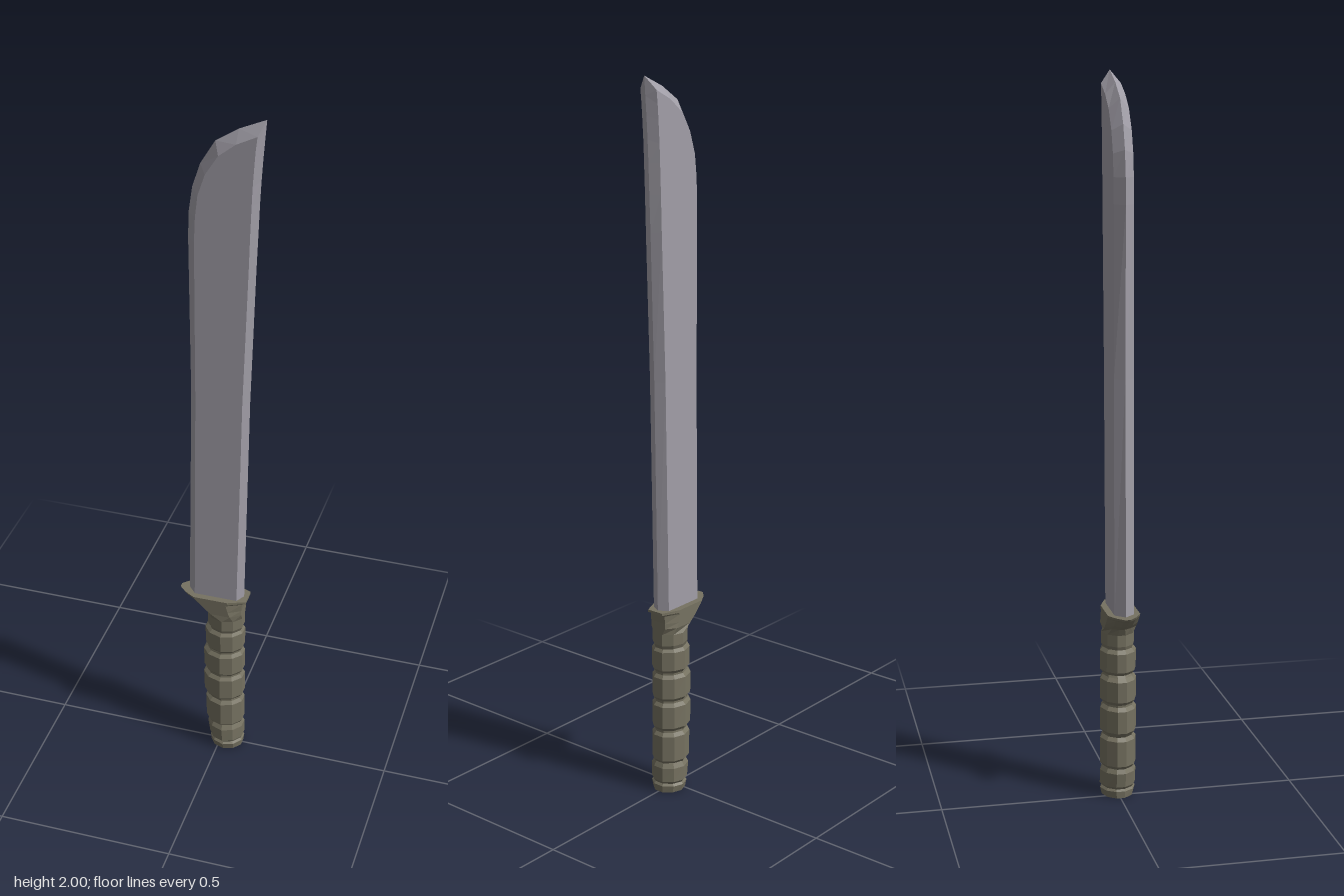
import * as THREE from 'three';

// Skins a stack of equal-length rings (counter-clockwise seen from above) with flat facets and end caps.
function loft(rings) {
  const pos = [];
  const tri = (a, b, c) => pos.push(...a, ...b, ...c);
  const n = rings[0].length;
  for (let r = 0; r < rings.length - 1; r++) {
    const lo = rings[r], hi = rings[r + 1];
    for (let i = 0; i < n; i++) {
      const j = (i + 1) % n;
      tri(lo[i], lo[j], hi[j]);
      tri(lo[i], hi[j], hi[i]);
    }
  }
  const bottom = rings[0], top = rings[rings.length - 1];
  for (let i = 1; i < n - 1; i++) {
    tri(bottom[0], bottom[i + 1], bottom[i]);
    tri(top[0], top[i], top[i + 1]);
  }
  const geo = new THREE.BufferGeometry();
  geo.setAttribute('position', new THREE.Float32BufferAttribute(pos, 3));
  geo.computeVertexNormals();
  return geo;
}

// Scales a half outline (u along x, w along z) into a full mirrored ring.
function ring(half, y, x0, x1, hz) {
  const front = half.map(([u, w]) => [x0 + u * (x1 - x0), y, w * hz]);
  const back = front.map(([x, yy, z]) => [x, yy, -z]).reverse();
  return [...front, ...back];
}

export function createModel() {
  const group = new THREE.Group();
  const steel = new THREE.MeshStandardMaterial({ color: 0xa19ea7 });
  steel.name = 'steel';
  const olive = new THREE.MeshStandardMaterial({ color: 0x767261 });
  olive.name = 'oliveGrip';
  const add = (name, geo, mat) => {
    const mesh = new THREE.Mesh(geo, mat);
    mesh.name = name;
    group.add(mesh);
  };

  // Blade rows: cutting edge, front of flat, back of flat, spine, each as x, y
  const t = 0.027;
  const rows = [
    [-0.093, 0.54, -0.07, 0.54, 0.053, 0.54, 0.068, 0.54],
    [-0.083, 1.2, -0.063, 1.2, 0.066, 1.2, 0.08, 1.2],
    [-0.087, 1.66, -0.063, 1.66, 0.08, 1.6, 0.093, 1.6],
    [-0.085, 1.73, -0.06, 1.73, 0.083, 1.7, 0.097, 1.7],
    [-0.075, 1.8, -0.053, 1.79, 0.086, 1.78, 0.1, 1.78],
    [-0.054, 1.865, -0.034, 1.848, 0.088, 1.83, 0.103, 1.84],
    [-0.015, 1.93, 0, 1.902, 0.092, 1.89, 0.107, 1.9],
    [0.045, 1.969, 0.045, 1.938, 0.095, 1.93, 0.111, 1.95],
    [0.115, 2, 0.099, 1.965, 0.099, 1.965, 0.115, 2],
  ];
  add('blade', loft(rows.map(([ex, ey, lx, ly, rx, ry, sx, sy]) => [
    [ex, ey, 0], [lx, ly, t], [rx, ry, t], [sx, sy, 0], [rx, ry, -t], [lx, ly, -t],
  ])), steel);

  // Grip: bulging bands separated by narrow grooves
  const gripHalf = [[0, 0.25], [0.18, 0.76], [0.5, 1], [0.8, 0.8], [1, 0.3]];
  const bands = [
    [0.085, 0.185, -0.04], [0.185, 0.275, -0.046], [0.275, 0.36, -0.046],
    [0.36, 0.44, -0.041],
  ];
  const grip = [];
  for (const [y0, y1, x0] of bands) {
    grip.push(
      ring(gripHalf, y0 + 0.003, x0 + 0.008, 0.061, 0.043),
      ring(gripHalf, y0 + 0.013, x0, 0.068, 0.051),
      ring(gripHalf, y1 - 0.013, x0 - 0.002, 0.068, 0.051),
      ring(gripHalf, y1 - 0.003, x0 + 0.008, 0.061, 0.043),
    );
  }
  add('grip', loft(grip), olive);

  // Pommel with a raised rim at the butt
  add('pommel', loft([
    ring(gripHalf, 0, -0.026, 0.066, 0.045),
    ring(gripHalf, 0.02, -0.028, 0.068, 0.05),
    ring(gripHalf, 0.026, -0.024, 0.063, 0.044),
    ring(gripHalf, 0.034, -0.03, 0.068, 0.051),
    ring(gripHalf, 0.075, -0.036, 0.068, 0.051),
    ring(gripHalf, 0.09, -0.028, 0.061, 0.043),
  ]), olive);

  // Neck flaring into the guard, with a hooked finger stop on the edge side
  const guardHalf = [[0, 0.17], [0.1, 0.6], [0.25, 1], [0.75, 1], [1, 0.55]];
  add('guard', loft([
    ring(gripHalf, 0.435, -0.032, 0.062, 0.043),
    ring(gripHalf, 0.447, -0.036, 0.067, 0.047),
    ring(gripHalf, 0.48, -0.036, 0.067, 0.047),
    ring(guardHalf, 0.5, -0.046, 0.067, 0.045),
    ring(guardHalf, 0.515, -0.07, 0.067, 0.045),
    ring(guardHalf, 0.538, -0.1, 0.069, 0.045),
    ring(guardHalf, 0.543, -0.112, 0.08, 0.045),
    ring(guardHalf, 0.55, -0.118, 0.08, 0.045),
  ]), olive);

  return group;
}
